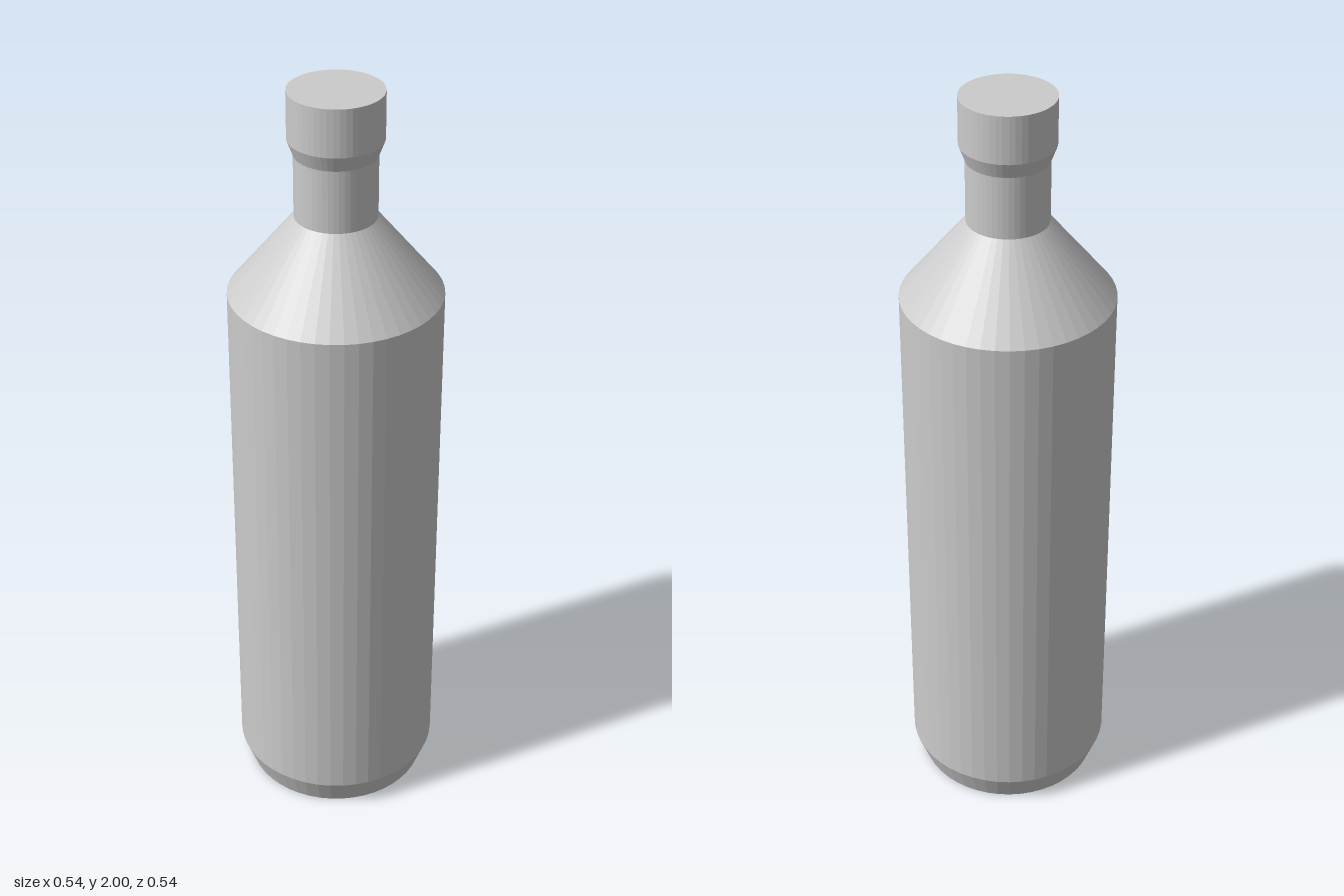
import * as THREE from 'three';

const SEGMENTS = 48;

export function createModel() {
  const bottle = new THREE.Group();
  bottle.name = 'bottle';
  const material = new THREE.MeshStandardMaterial({ color: 0xcccccc, flatShading: true });

  // Each part is a lathe of [radius, height] points, listed from bottom to top
  const addPart = (name, profile) => {
    const points = profile.map(([r, y]) => new THREE.Vector2(r, y));
    const mesh = new THREE.Mesh(new THREE.LatheGeometry(points, SEGMENTS), material);
    mesh.name = name;
    bottle.add(mesh);
  };

  // Flat underside with a bevelled foot
  addPart('base', [[0, 0], [0.24, 0], [0.268, 0.075]]);
  // Straight cylindrical wall
  addPart('body', [[0.268, 0.075], [0.268, 1.475]]);
  // Conical shoulder
  addPart('shoulder', [[0.268, 1.475], [0.102, 1.68]]);
  // Narrow neck
  addPart('neck', [[0.102, 1.68], [0.102, 1.84]]);
  // Cap, flared at its lower edge and closed on top
  addPart('cap', [[0.102, 1.84], [0.117, 1.88], [0.117, 2], [0, 2]]);

  return bottle;
}
